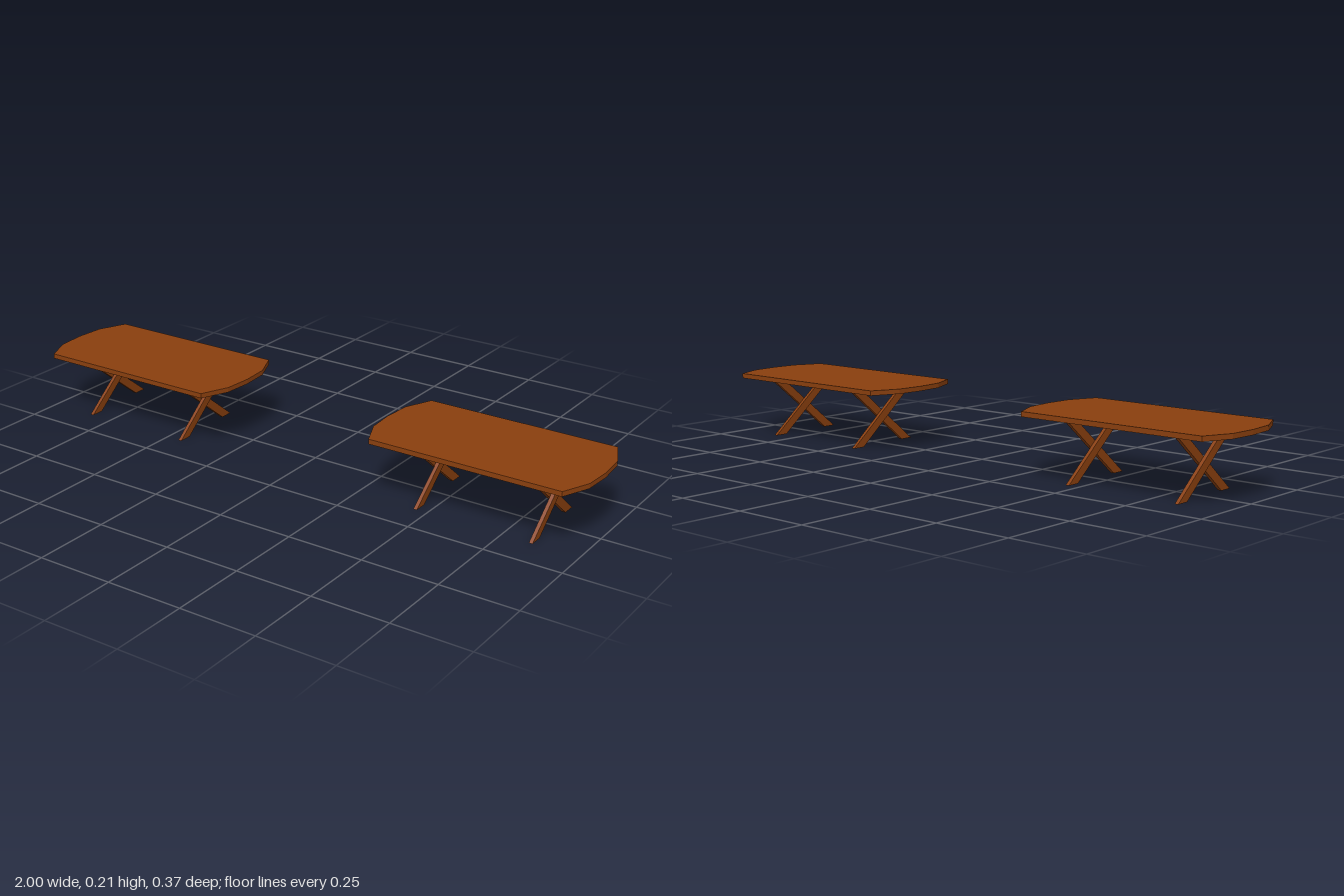
import * as THREE from 'three';

const TOP_Y = 0.195, TOP_THICK = 0.016, BEAM = 0.012;

// Extrude a polygon given as [x, y] pairs, without bevels
function prism(points, depth) {
  const shape = new THREE.Shape(points.map(([x, y]) => new THREE.Vector2(x, y)));
  return new THREE.ExtrudeGeometry(shape, { depth, bevelEnabled: false });
}

export function createModel() {
  const wood = new THREE.MeshStandardMaterial({ color: 0x8a3f0e });
  wood.name = 'brown wood';
  const model = new THREE.Group();
  model.name = 'tablePair';

  // Tabletop: straight long sides, faceted rounded ends
  const end = [[0.318, -0.184], [0.358, -0.093], [0.365, 0], [0.358, 0.093], [0.318, 0.184]];
  const topGeo = prism([...end, ...end.map(([x, z]) => [-x, -z])], TOP_THICK);
  topGeo.rotateX(-Math.PI / 2);

  // Slanted leg beam, cut level at floor and tabletop; the profile lies in the z-y plane
  const beamGeo = (lean) => {
    const pts = [[0.097, 0], [0.141, 0], [-0.097, TOP_Y], [-0.141, TOP_Y]].map(([z, y]) => [-z * lean, y]);
    const geo = prism(lean > 0 ? pts : pts.reverse(), BEAM);
    geo.rotateY(Math.PI / 2);
    return geo;
  };
  const beams = { beamForward: beamGeo(1), beamBackward: beamGeo(-1) };

  for (const side of [-1, 1]) {
    const table = new THREE.Group();
    table.name = side > 0 ? 'leftTable' : 'rightTable';

    const top = new THREE.Mesh(topGeo, wood);
    top.name = 'tabletop';
    top.position.set(side * 0.635, TOP_Y, 0);
    table.add(top);

    // Two crossed trestles, each of two beams lying side by side
    for (const x of [0.453, 0.84]) {
      const trestle = new THREE.Group();
      trestle.name = x > 0.6 ? 'outerCrossLegs' : 'innerCrossLegs';
      trestle.position.x = side * x;
      for (const [name, geo] of Object.entries(beams)) {
        const beam = new THREE.Mesh(geo, wood);
        beam.name = name;
        beam.position.x = name === 'beamForward' ? 0 : -BEAM;
        trestle.add(beam);
      }
      table.add(trestle);
    }
    model.add(table);
  }
  return model;
}
